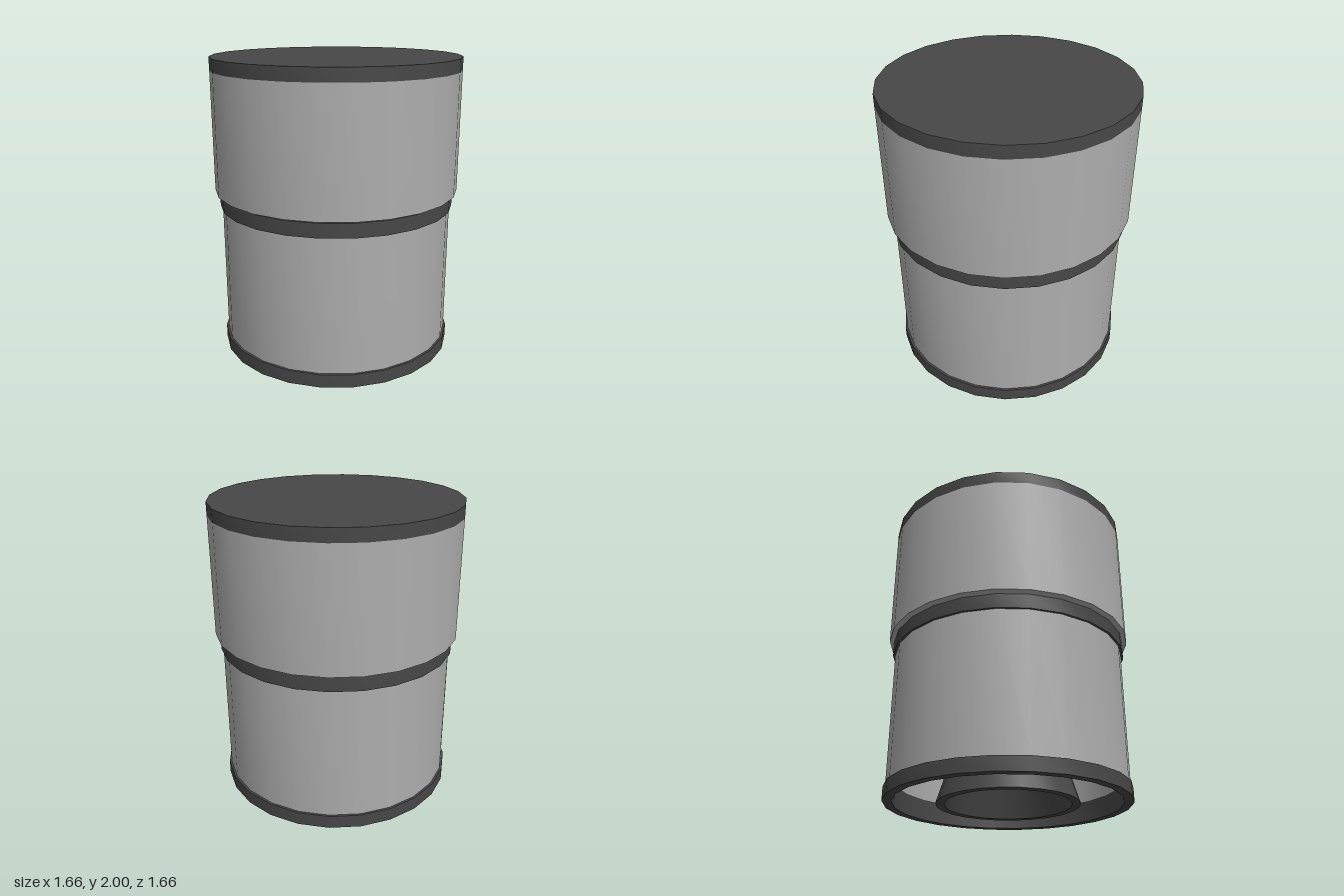
import * as THREE from 'three';
import { toCreasedNormals } from 'three/addons/utils/BufferGeometryUtils.js';

const SIDES = 24;

export function createModel() {
  const lightGrey = new THREE.MeshStandardMaterial({ color: 0xadadad });
  lightGrey.name = 'lightGrey';
  const darkGrey = new THREE.MeshStandardMaterial({ color: 0x474747 });
  darkGrey.name = 'darkGrey';

  const model = new THREE.Group();
  model.name = 'canister';

  // Turned part: profile of [radius, y], running up the outside and down the inside
  const turned = (name, profile, material) => {
    const points = profile.map(([r, y]) => new THREE.Vector2(r, y));
    const lathe = new THREE.LatheGeometry(points, SIDES);
    const mesh = new THREE.Mesh(toCreasedNormals(lathe, Math.PI / 6), material);
    mesh.name = name;
    model.add(mesh);
  };

  // Hollow lower body, open at the bottom
  turned('bottomRing', [[0.74, 0], [0.8, 0], [0.8, 0.09], [0.785, 0.09], [0.74, 0.14], [0.74, 0]], darkGrey);
  turned('lowerShell', [[0.785, 0.09], [0.785, 1.0]], lightGrey);
  turned('lowerLining', [[0.74, 1.0], [0.74, 0.14]], lightGrey);

  // Band between the two bodies, closing the cavity
  turned('middleBand', [[0, 1.0], [0.8, 1.0], [0.8, 1.095], [0, 1.095]], darkGrey);

  // Wider upper body with a small chamfer underneath
  turned('upperShell', [[0.78, 1.096], [0.8, 1.097], [0.83, 1.11], [0.83, 1.915]], lightGrey);
  turned('topCap', [[0.83, 1.915], [0.83, 2], [0, 2]], darkGrey);

  // Flared nozzle hanging inside the lower body
  turned('nozzle', [
    [0.41, 0], [0.465, 0], [0.41, 0.18], [0.355, 0.36], [0.25, 0.7], [0.25, 1.0],
    [0.2, 1.0], [0.2, 0.7], [0.3, 0.36], [0.355, 0.18], [0.41, 0],
  ], darkGrey);

  return model;
}
